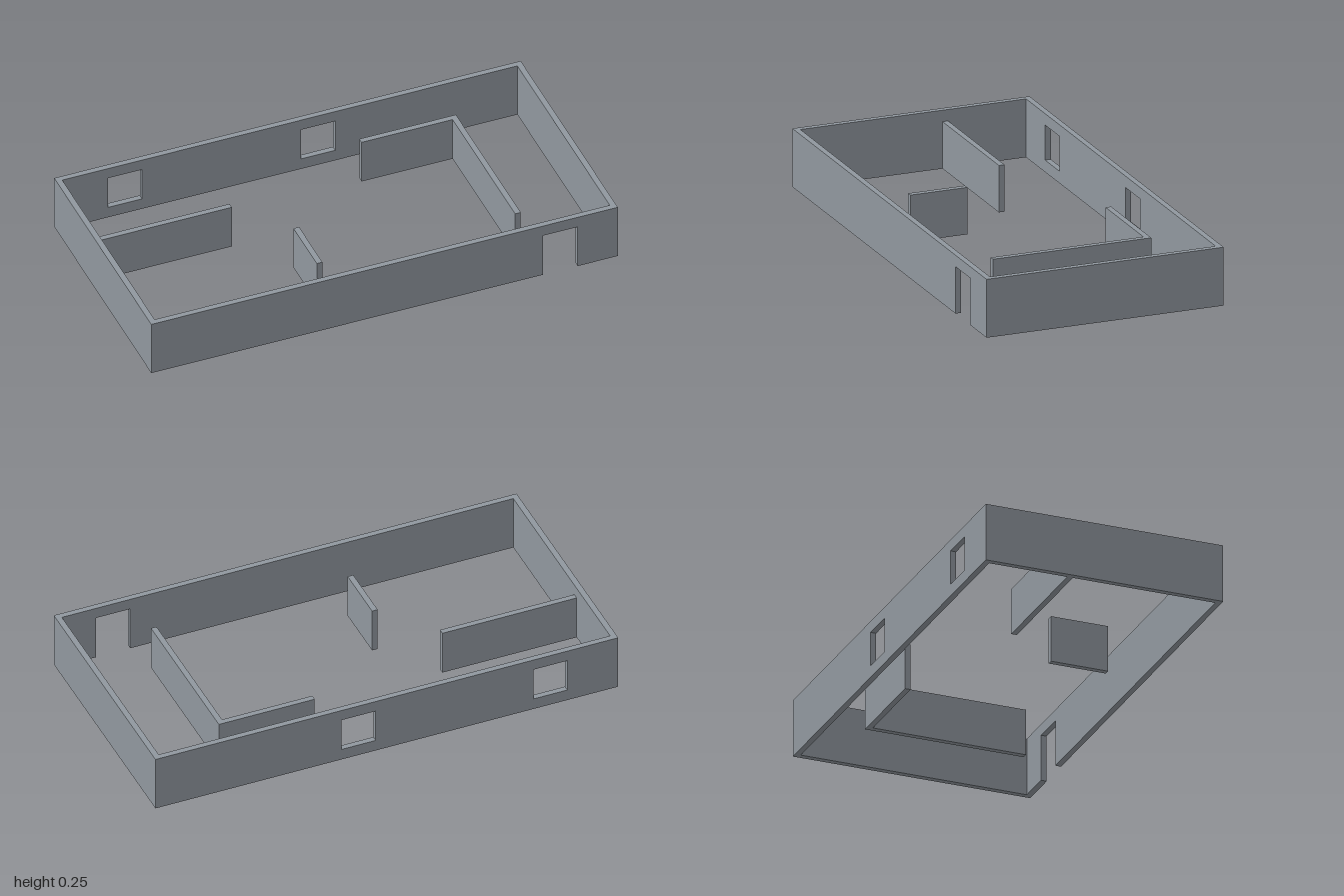
import * as THREE from 'three';

const H = 0.245;      // outer wall height
const INNER_H = 0.197; // partition, door and window head height
const T = 0.0245;     // wall thickness
const X = 1, Z = 0.51; // half extents

export function createModel() {
  const model = new THREE.Group();
  model.name = 'floorPlanWalls';
  const wallGrey = new THREE.MeshStandardMaterial({ color: 0x90979e });
  wallGrey.name = 'wallGrey';

  const add = (name, geometry, x, y, z) => {
    const mesh = new THREE.Mesh(geometry, wallGrey);
    mesh.name = name;
    mesh.position.set(x, y, z);
    model.add(mesh);
  };

  // box wall standing on the floor, given by its plan rectangle
  const wall = (name, x0, x1, z0, z1, h) =>
    add(name, new THREE.BoxGeometry(x1 - x0, h, z1 - z0), (x0 + x1) / 2, h / 2, (z0 + z1) / 2);

  // long wall cut from an outline in the xy plane
  const cutWall = (name, shape, z) =>
    add(name, new THREE.ExtrudeGeometry(shape, { depth: T, bevelEnabled: false }), 0, 0, z);

  const outline = (points) => new THREE.Shape(points.map(([x, y]) => new THREE.Vector2(x, y)));

  // front wall with a doorway open to the floor
  cutWall('frontWall', outline([
    [-X, 0], [0.68, 0], [0.68, INNER_H], [0.828, INNER_H], [0.828, 0], [X, 0], [X, H], [-X, H],
  ]), Z - T);

  // back wall with two window openings
  const back = outline([[-X, 0], [X, 0], [X, H], [-X, H]]);
  for (const x of [-0.78, 0.048]) {
    back.holes.push(new THREE.Path([
      [x, 0.05], [x, INNER_H], [x + 0.147, INNER_H], [x + 0.147, 0.05],
    ].map(([px, py]) => new THREE.Vector2(px, py))));
  }
  cutWall('backWall', back, -Z);

  // side walls between front and back
  wall('leftWall', X - T, X, -Z + T, Z - T, H);
  wall('rightWall', -X, -X + T, -Z + T, Z - T, H);

  // lower interior partitions
  wall('rightPartition', -X + T, -0.395, -0.15, -0.126, INNER_H);
  wall('shortPartition', -0.22, -0.196, 0.093, 0.338, INNER_H);
  wall('leftPartition', 0.63, 0.654, -0.343, 0.338, INNER_H);
  wall('backPartition', 0.24, 0.63, -0.343, -0.319, INNER_H);

  return model;
}
